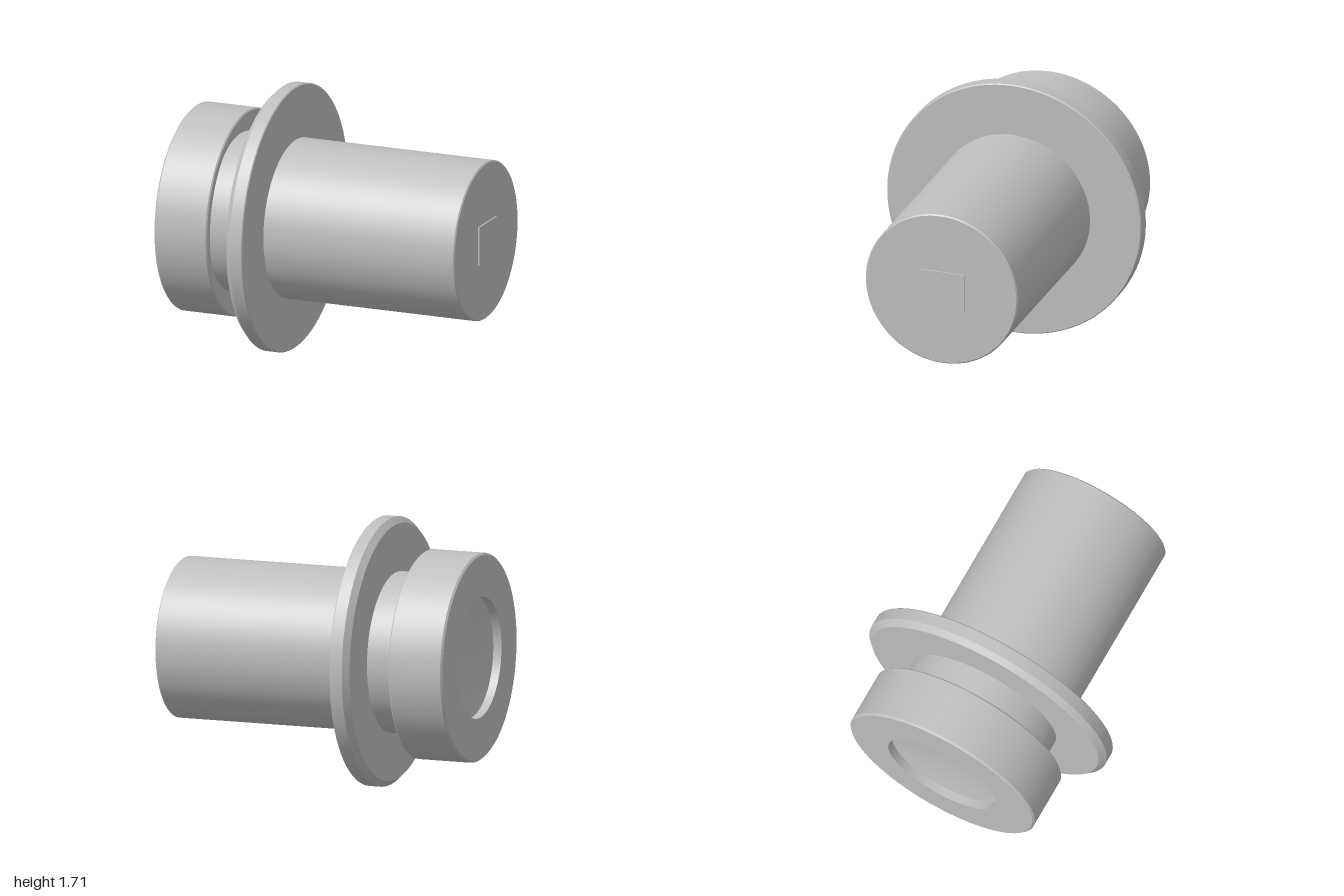
import * as THREE from 'three';
import { toCreasedNormals } from 'three/addons/utils/BufferGeometryUtils.js';

const AXIS_Y = 0.858;

export function createModel() {
  const model = new THREE.Group();
  model.name = 'flangedPlug';
  const grey = new THREE.MeshStandardMaterial({ color: 0xbfbfbf });
  grey.name = 'satin grey';

  // Turned part: profile of [x along the axis, radius], from left to right
  function turned(name, profile) {
    const points = profile.map(([x, r]) => new THREE.Vector2(r, x));
    const lathe = new THREE.LatheGeometry(points, 128);
    lathe.rotateZ(-Math.PI / 2);
    const mesh = new THREE.Mesh(toCreasedNormals(lathe, 0.4), grey);
    mesh.name = name;
    mesh.position.y = AXIS_Y;
    model.add(mesh);
  }

  // Shallow concave dish at the bottom of the head recess
  const dish = [];
  for (let i = 0; i <= 8; i++) {
    const t = i / 8;
    dish.push([-0.905 - 0.04 * t * t, 0.385 * t]);
  }

  // Head with a dished recess on the left and a ring groove on the right
  turned('head', [
    ...dish,
    [-1, 0.385], [-1, 0.65], [-0.988, 0.662],
    [-0.646, 0.662], [-0.638, 0.654], [-0.638, 0.61],
    [-0.69, 0.61], [-0.69, 0.5],
  ]);

  // Neck between head and flange
  turned('neck', [[-0.7, 0.51], [-0.43, 0.51]]);

  // Flange, with a wide bevel on its left edge
  turned('flange', [
    [-0.438, 0.505], [-0.438, 0.815], [-0.4, 0.853],
    [-0.321, 0.853], [-0.315, 0.847], [-0.315, 0.505],
  ]);

  // Long barrel with a lightly bevelled end
  turned('barrel', [[-0.32, 0.51], [0.982, 0.51], [0.99, 0.502], [0.99, 0]]);

  // Thin raised pad on the barrel end
  const pad = new THREE.Mesh(new THREE.BoxGeometry(0.015, 0.25, 0.288), grey);
  pad.name = 'endPad';
  pad.position.set(0.9925, 0.855, -0.012);
  model.add(pad);

  return model;
}
